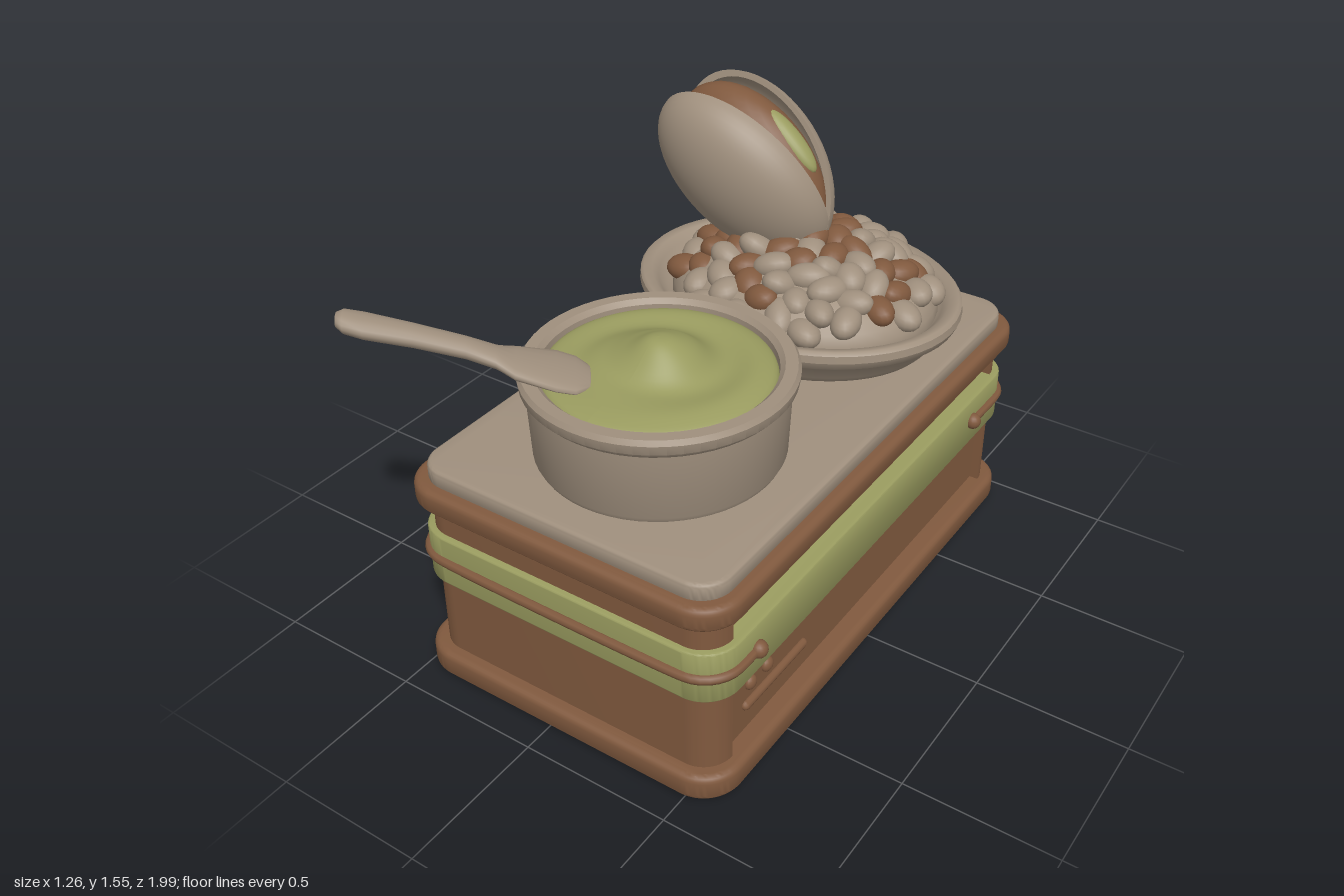
import * as THREE from 'three';
import { toCreasedNormals } from 'three/addons/utils/BufferGeometryUtils.js';

const material = (name, color) => {
  const m = new THREE.MeshStandardMaterial({ color });
  m.name = name;
  return m;
};

export function createModel() {
  const brown = material('warm brown', 0x80593e);
  const tan = material('stone tan', 0x9f8f7d);
  const green = material('pistachio green', 0x999b5f);
  const model = new THREE.Group();
  const CX = 0.05, CZ = -0.045; // middle of the box

  const add = (name, geometry, mat, x = 0, y = 0, z = 0, parent = model) => {
    const mesh = new THREE.Mesh(geometry, mat);
    mesh.name = name;
    mesh.position.set(x, y, z);
    parent.add(mesh);
    return mesh;
  };

  // Rounded rectangle, optionally with a shallow notch in its +x side
  const roundedRect = (hx, hz, r, notch = 0, notchHalf = 0) => {
    const s = new THREE.Shape();
    s.absarc(hx - r, hz - r, r, 0, Math.PI / 2);
    s.absarc(-hx + r, hz - r, r, Math.PI / 2, Math.PI);
    s.absarc(-hx + r, -hz + r, r, Math.PI, Math.PI * 1.5);
    s.absarc(hx - r, -hz + r, r, Math.PI * 1.5, Math.PI * 2);
    if (notch) {
      s.lineTo(hx, -notchHalf);
      s.lineTo(hx - notch, -notchHalf);
      s.lineTo(hx - notch, notchHalf);
      s.lineTo(hx, notchHalf);
    }
    s.closePath();
    return s;
  };
  const slab = (name, mat, hx, hz, r, y0, y1, bevel, notch, notchHalf) => {
    const g = new THREE.ExtrudeGeometry(
      roundedRect(hx - bevel, hz - bevel, r - bevel, notch, notchHalf),
      { depth: y1 - y0 - 2 * bevel, bevelEnabled: bevel > 0, bevelThickness: bevel, bevelSize: bevel, bevelSegments: 4, curveSegments: 10 });
    g.rotateX(-Math.PI / 2);
    return add(name, toCreasedNormals(g, 0.7), mat, CX, y0 + bevel, CZ);
  };

  // Box with rims, lid and band
  slab('basePlate', brown, 0.47, 0.86, 0.1, 0, 0.02, 0);
  slab('bottomRim', brown, 0.57, 0.955, 0.13, 0.01, 0.1, 0.022);
  slab('boxBody', brown, 0.53, 0.91, 0.1, 0.09, 0.67, 0, 0.03, 0.81);
  slab('topRim', brown, 0.57, 0.955, 0.13, 0.65, 0.73, 0.022);
  slab('lid', tan, 0.53, 0.915, 0.1, 0.72, 0.782, 0.015);
  slab('band', green, 0.555, 0.93, 0.12, 0.375, 0.552, 0.008);

  // Cord around the band, open on the +x side between two studs
  const cord = [];
  const hx = 0.556, hz = 0.93, r = 0.12;
  cord.push(new THREE.Vector3(hx, 0, 0.72));
  [[1, 1], [-1, 1], [-1, -1], [1, -1]].forEach(([sx, sz], k) => {
    for (let i = 0; i <= 5; i++) {
      const a = (k + i / 5) * Math.PI / 2;
      cord.push(new THREE.Vector3(sx * (hx - r) + r * Math.cos(a), 0, sz * (hz - r) + r * Math.sin(a)));
    }
  });
  cord.push(new THREE.Vector3(hx, 0, -0.64));
  add('cord', new THREE.TubeGeometry(new THREE.CatmullRomCurve3(cord), 180, 0.016, 8), brown, CX, 0.465, CZ);
  for (const z of [0.68, -0.68]) {
    add('stud', new THREE.SphereGeometry(0.028, 16, 12), brown, 0.61, 0.467, z);
  }

  // Small relief on the recessed side panel
  for (const z of [0.63, 0.54]) {
    add('button', new THREE.SphereGeometry(0.025, 16, 12), brown, 0.552, 0.27, z).scale.x = 0.7;
  }
  const bar = add('reliefBar', new THREE.CapsuleGeometry(0.016, 0.32, 4, 10), brown, 0.552, 0.197, 0.495);
  bar.rotation.x = Math.PI / 2;

  const lathe = (points, crease = 0.6) => toCreasedNormals(
    new THREE.LatheGeometry(points.map(([a, b]) => new THREE.Vector2(a, b)), 56), crease);

  // Cup of cream
  add('cup', lathe([[0, 0], [0.37, 0], [0.38, 0.02], [0.39, 0.235], [0.408, 0.255], [0.412, 0.285],
    [0.402, 0.3], [0.365, 0.3], [0.35, 0.285], [0.345, 0.2], [0, 0.2]]), tan, 0.073, 0.78, 0.39);
  const creamGeo = new THREE.LatheGeometry(
    new THREE.SplineCurve([[0.352, 0], [0.34, 0.035], [0.29, 0.05], [0.22, 0.048], [0.16, 0.062], [0.1, 0.1], [0.04, 0.135], [0, 0.142]]
      .map(([a, b]) => new THREE.Vector2(a, b))).getPoints(28), 56);
  const p = creamGeo.attributes.position;
  for (let i = 0; i < p.count; i++) { // soft spiral fold
    const x = p.getX(i), z = p.getZ(i), d = Math.hypot(x, z);
    const fade = Math.sin(Math.PI * Math.min(d / 0.345, 1));
    p.setY(i, p.getY(i) + 0.009 * fade * Math.sin(Math.atan2(z, x) + d * 28));
  }
  creamGeo.computeVertexNormals();
  add('cream', creamGeo, green, 0.073, 1.02, 0.39);

  // Spoon lofted through elliptical sections: x, y, z, half width, half thickness
  const sections = [
    [-0.612, 1.273, 0.962, 0.001, 0.001], [-0.608, 1.271, 0.96, 0.03, 0.018], [-0.592, 1.265, 0.948, 0.048, 0.03],
    [-0.55, 1.248, 0.915, 0.054, 0.033], [-0.45, 1.208, 0.83, 0.045, 0.032], [-0.34, 1.16, 0.74, 0.042, 0.03],
    [-0.275, 1.125, 0.69, 0.05, 0.028], [-0.23, 1.105, 0.66, 0.085, 0.025], [-0.13, 1.085, 0.605, 0.108, 0.022],
    [-0.08, 1.075, 0.58, 0.1, 0.02], [-0.045, 1.07, 0.56, 0.06, 0.014], [-0.04, 1.069, 0.557, 0.001, 0.001]];
  const N = 16, verts = [], faces = [];
  sections.forEach(([x, y, z, w, t], s) => {
    for (let i = 0; i < N; i++) {
      const a = i / N * Math.PI * 2, c = Math.cos(a) * w;
      verts.push(x + 0.62 * c, y + Math.sin(a) * t, z + 0.78 * c);
      if (s < sections.length - 1) {
        const q = s * N + i, n = s * N + (i + 1) % N;
        faces.push(q, q + N, n, n, q + N, n + N);
      }
    }
  });
  const spoonGeo = new THREE.BufferGeometry();
  spoonGeo.setAttribute('position', new THREE.Float32BufferAttribute(verts, 3));
  spoonGeo.setIndex(faces);
  spoonGeo.computeVertexNormals();
  add('spoon', spoonGeo, tan);

  // Oval dish with a mound of nuts
  add('dish', lathe([[0, 0], [0.82, 0], [0.86, 0.025], [0.92, 0.075], [0.98, 0.095], [1, 0.12], [0.995, 0.145],
    [0.975, 0.156], [0.92, 0.152], [0.88, 0.13], [0.82, 0.09], [0, 0.09]]), tan, 0.017, 0.78, -0.482).scale.set(0.567, 1, 0.456);
  add('nutMound', new THREE.SphereGeometry(1, 40, 20), tan, 0.04, 0.89, -0.48).scale.set(0.46, 0.195, 0.395);

  let seed = 7;
  const rand = () => (seed = (seed * 16807) % 2147483647) / 2147483647;
  const nuts = new THREE.Group();
  nuts.name = 'nuts';
  model.add(nuts);
  const nutGeo = new THREE.SphereGeometry(1, 18, 12);
  const count = 84;
  for (let i = 0; i < count; i++) {
    const d = Math.sqrt((i + 0.5) / count), a = i * 2.39996;
    const nut = add('nut', nutGeo, rand() < 0.62 - 0.25 * d ? brown : tan,
      0.04 + 0.43 * d * Math.cos(a), 0.945 + 0.15 * (1 - d * d) + 0.02 * (rand() - 0.5), -0.48 + 0.365 * d * Math.sin(a), nuts);
    nut.scale.set(0.062 + 0.014 * rand(), 0.044, 0.047 + 0.008 * rand());
    nut.rotation.set((rand() - 0.5) * 0.8, rand() * Math.PI, (rand() - 0.5) * 0.8);
  }

  // Large open nut: two half shells hinged low down, kernel between
  const TILT = -0.736, EX = -0.193, EY = 1.27, EZ = -0.505, HINGE = 1.16;
  const arc = (rad, from, to) => Array.from({ length: 15 }, (_, i) => {
    const a = from + (to - from) * i / 14;
    return [rad * Math.max(0, Math.cos(a)), rad * Math.sin(a)];
  });
  const halfShell = lathe([...arc(0.93, Math.PI / 2, 0), ...arc(1, 0, Math.PI / 2)], 0.8);
  for (const side of [1, -1]) {
    const hinge = new THREE.Group();
    hinge.name = side > 0 ? 'frontShell' : 'backShell';
    hinge.position.set(EX, HINGE, EZ);
    hinge.rotation.x = side * 0.295;
    model.add(hinge);
    const geo = halfShell.clone().rotateX(side * Math.PI / 2).scale(0.348, 0.24, 0.172);
    add('shell', geo, tan, 0, EY - HINGE, 0, hinge).rotation.z = TILT;
  }
  const kernel = new THREE.Group();
  kernel.name = 'kernel';
  kernel.position.set(EX, EY, EZ);
  kernel.rotation.z = TILT;
  model.add(kernel);
  add('kernelSkin', new THREE.SphereGeometry(1, 32, 20), brown, 0, 0.005, 0, kernel).scale.set(0.32, 0.228, 0.135);
  add('kernelFlesh', new THREE.SphereGeometry(1, 24, 14), green, 0.02, 0.205, 0.005, kernel).scale.set(0.13, 0.036, 0.042);

  return model;
}
